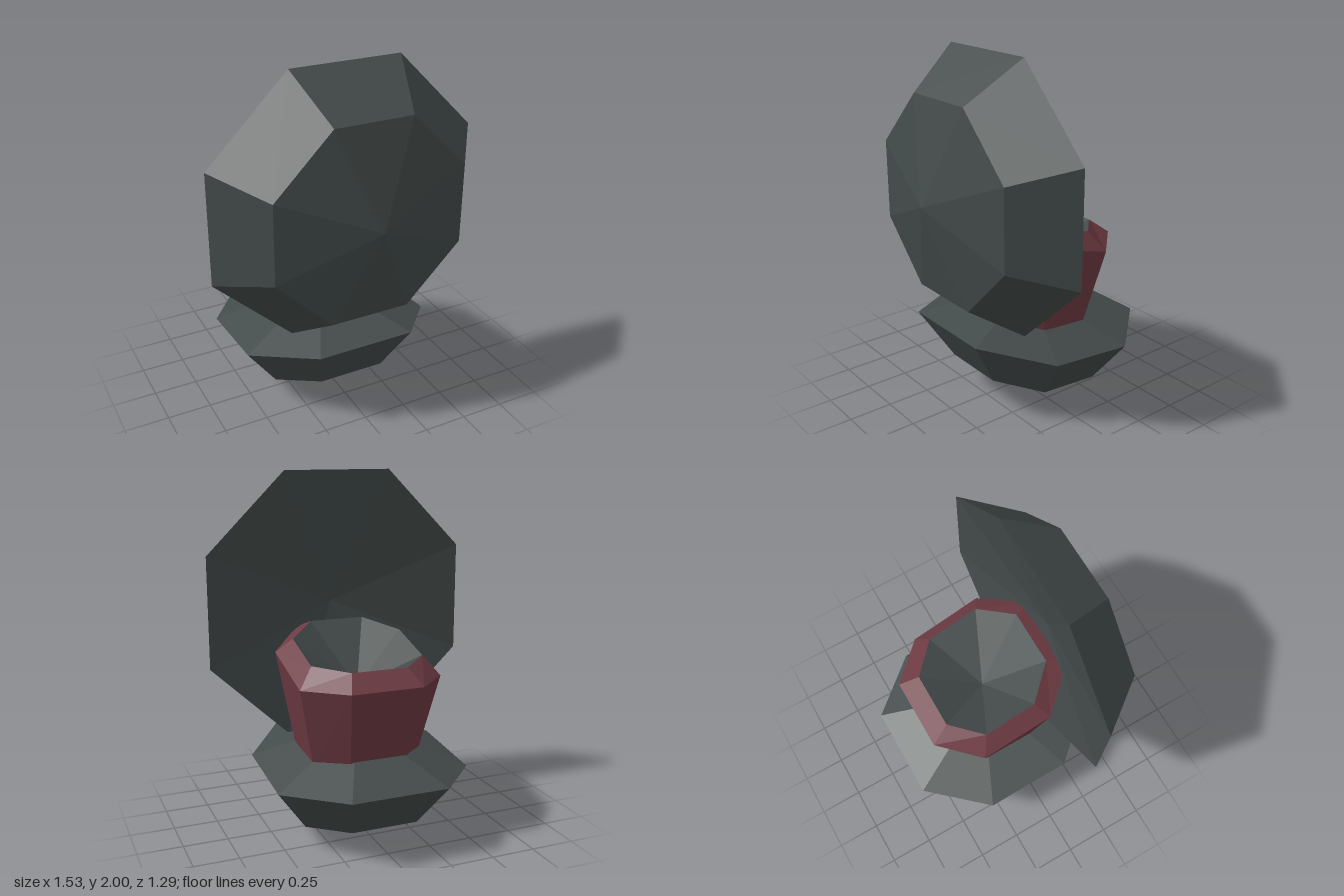
import * as THREE from 'three';

// Mirror four right-hand points into an eight-sided ring about x = cx
function ring(half, cx = 0) {
  const right = half.map(([x, y, z]) => new THREE.Vector3(cx + x, y, z));
  const left = half.map(([x, y, z]) => new THREE.Vector3(cx - x, y, z)).reverse();
  return [...right, ...left];
}

// A ring collapsed to one point, for the tips of the faceted cones
function tip(x, y, z) {
  return Array.from({ length: 8 }, () => new THREE.Vector3(x, y, z));
}

// Join successive rings with faceted bands
function loft(rings) {
  const points = [];
  const tri = (a, b, c) => {
    if (!a.equals(b) && !b.equals(c) && !a.equals(c)) points.push(a, b, c);
  };
  for (let r = 0; r < rings.length - 1; r++) {
    const a = rings[r], b = rings[r + 1];
    for (let i = 0; i < 8; i++) {
      const j = (i + 1) % 8;
      tri(a[i], a[j], b[j]);
      tri(a[i], b[j], b[i]);
    }
  }
  const geometry = new THREE.BufferGeometry().setFromPoints(points);
  geometry.computeVertexNormals();
  return geometry;
}

export function createModel() {
  const group = new THREE.Group();
  const slate = new THREE.MeshStandardMaterial({ color: 0x434b4a });
  slate.name = 'slate grey';
  const maroon = new THREE.MeshStandardMaterial({ color: 0x6d3a42 });
  maroon.name = 'maroon';

  const add = (name, rings, material) => {
    const mesh = new THREE.Mesh(loft(rings), material);
    mesh.name = name;
    group.add(mesh);
  };

  // Upright octagonal shield, hollow at the back and pointed at the front
  add('shield', [
    tip(0, 1.24, 0.345),
    ring([[0.32, 0.5, 0.22], [0.763, 0.92, 0.22], [0.763, 1.55, 0.22], [0.313, 2, 0.22]]),
    ring([[0.225, 0.7, 0.52], [0.54, 1.015, 0.52], [0.54, 1.46, 0.52], [0.22, 1.78, 0.52]]),
    tip(0, 1.24, 0.645),
  ], slate);

  // Pointed base with a slightly warped rim and a low conical top
  add('base', [
    tip(0, 0, -0.06),
    ring([[0.19, 0.205, 0.335], [0.38, 0.14, 0.12], [0.38, 0.11, -0.24], [0.19, 0.13, -0.45]], -0.005),
    ring([[0.28, 0.5, 0.51], [0.56, 0.405, 0.18], [0.56, 0.355, -0.32], [0.275, 0.385, -0.645]], -0.01),
    tip(0, 0.62, -0.06),
  ], slate);

  // Flared body rising out of the base, with a sloping bevelled rim
  const lip = ring([[0.16, 1.145, 0.25], [0.325, 1.09, 0.08], [0.325, 1.005, -0.22], [0.16, 0.99, -0.38]]);
  add('body', [
    tip(0, 0.4, -0.06),
    ring([[0.155, 0.42, 0.23], [0.31, 0.42, 0.075], [0.31, 0.42, -0.2], [0.155, 0.42, -0.35]]),
    ring([[0.205, 1.1, 0.36], [0.412, 1.01, 0.135], [0.41, 0.895, -0.28], [0.205, 0.905, -0.49]]),
    lip,
  ], maroon);

  // Hollow inside the rim
  add('cup', [lip, tip(0, 0.82, -0.065)], slate);

  return group;
}
